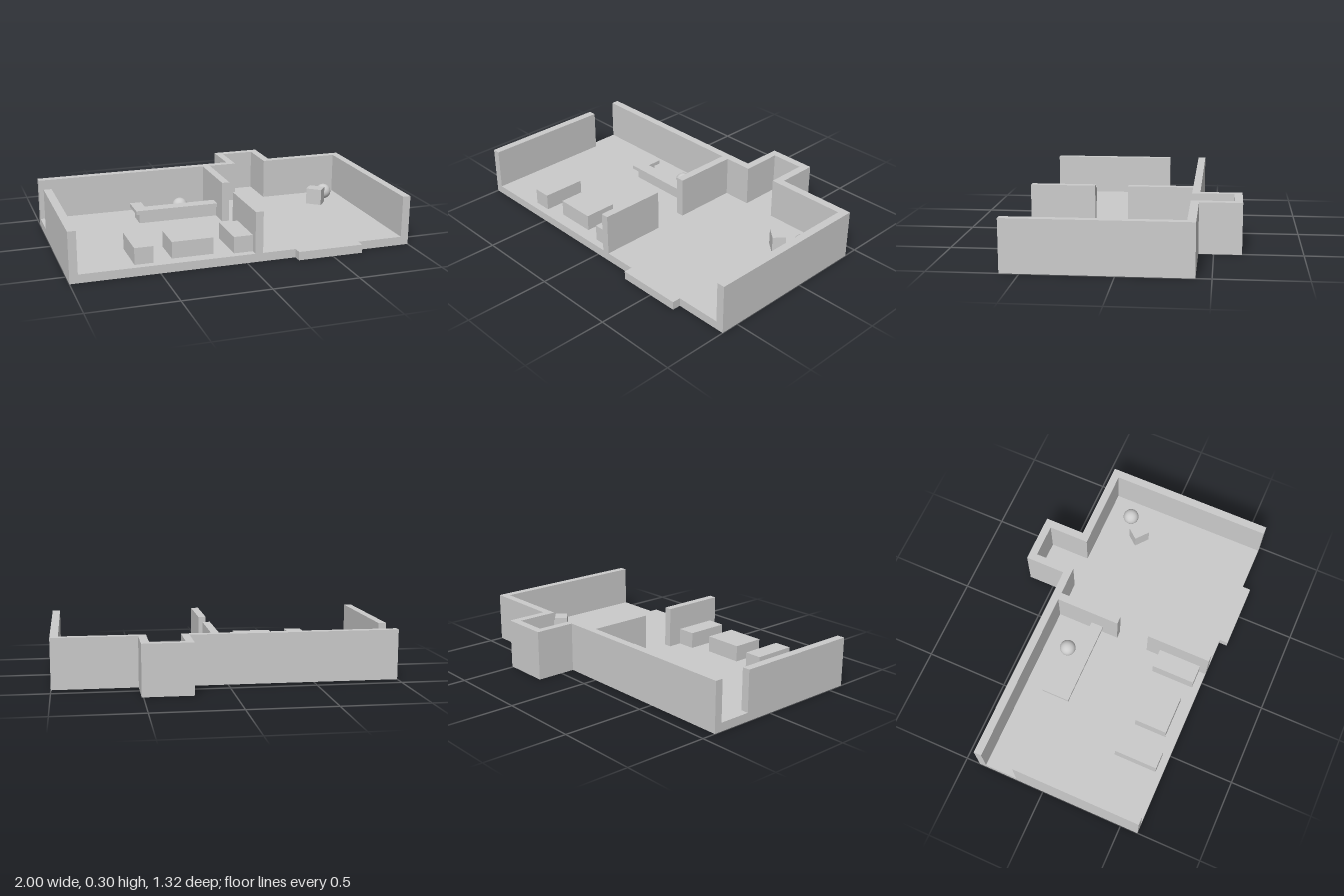
import * as THREE from 'three';

const material = new THREE.MeshStandardMaterial({ color: 0xcccccc });
const FLOOR = 0.05, TOP = 0.295;

function add(parent, name, geometry) {
  const mesh = new THREE.Mesh(geometry, material);
  mesh.name = name;
  parent.add(mesh);
  return mesh;
}

// Raise a plan outline of [x, z] points from y0 to y1
function slab(parent, name, plan, y0, y1) {
  const shape = new THREE.Shape(plan.map(([x, z]) => new THREE.Vector2(x, -z)));
  const geometry = new THREE.ExtrudeGeometry(shape, { depth: y1 - y0, bevelEnabled: false });
  geometry.rotateX(-Math.PI / 2).translate(0, y0, 0);
  return add(parent, name, geometry);
}

const rect = (x0, x1, z0, z1) => [[x0, z0], [x1, z0], [x1, z1], [x0, z1]];

export function createModel() {
  const model = new THREE.Group();
  model.name = 'floorPlan';

  // Floor with the back alcove and the front doorstep
  slab(model, 'floor', [
    [-1, 0.608], [-1, -0.415], [0.22, -0.415], [0.22, -0.658], [0.51, -0.658], [0.51, -0.415],
    [1, -0.415], [1, 0.608], [0.68, 0.608], [0.68, 0.658], [0.29, 0.658], [0.29, 0.608],
  ], 0, FLOOR);

  // Back wall, alcove, right-hand wall and rear partition in one run
  slab(model, 'outerWalls', [
    [-1, -0.415], [0.22, -0.415], [0.22, -0.658], [0.51, -0.658], [0.51, -0.415], [1, -0.415],
    [1, 0.608], [0.953, 0.608], [0.953, -0.368], [0.463, -0.368], [0.463, -0.612], [0.265, -0.612],
    [0.265, -0.368], [0.093, -0.368], [0.093, 0.02], [0.047, 0.02], [0.047, -0.368], [-1, -0.368],
  ], FLOOR, TOP);
  slab(model, 'sideWall', rect(-1, -0.953, -0.172, 0.608), FLOOR, TOP);
  slab(model, 'frontPartition', rect(0.047, 0.093, 0.218, 0.608), FLOOR, TOP);

  // Corner counter: inset base under an overhanging top
  const counter = new THREE.Group();
  counter.name = 'counter';
  model.add(counter);
  slab(counter, 'counterBase', [
    [-0.44, -0.222], [-0.418, -0.222], [-0.418, -0.127], [0.047, -0.127], [0.047, -0.1], [-0.44, -0.1],
  ], FLOOR, 0.113);
  slab(counter, 'counterTop', [
    [-0.465, -0.245], [-0.394, -0.245], [-0.394, -0.152], [0.047, -0.152], [0.047, -0.076], [-0.465, -0.076],
  ], 0.113, 0.136);

  // Seating group
  slab(model, 'leftBench', rect(-0.635, -0.528, 0.303, 0.565), FLOOR, 0.147);
  slab(model, 'lowTable', rect(-0.416, -0.176, 0.34, 0.535), FLOOR, 0.147);
  slab(model, 'rightBench', rect(-0.065, 0.047, 0.303, 0.565), FLOOR, 0.147);

  // Turned block and round stools
  const block = add(model, 'turnedBlock', new THREE.BoxGeometry(0.097, 0.1, 0.078));
  block.position.set(0.727, 0.109, -0.125);
  block.rotation.y = -0.69;
  for (const x of [-0.15, 0.826]) {
    add(model, 'ball', new THREE.SphereGeometry(0.048, 32, 20)).position.set(x, 0.098, -0.224);
  }

  return model;
}
